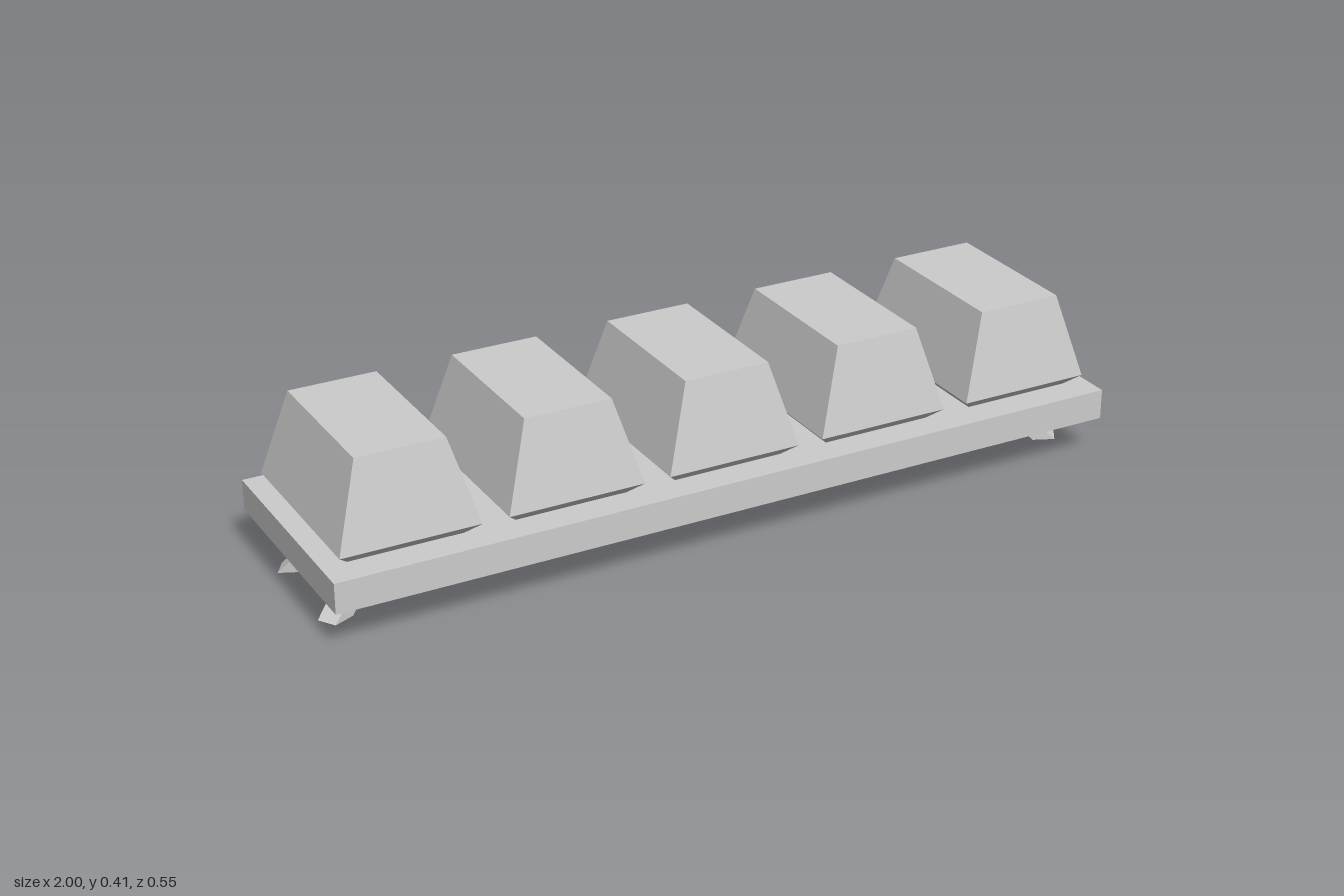
import * as THREE from 'three';

const material = new THREE.MeshStandardMaterial({ color: 0xcccccc, flatShading: true });

// Box whose vertices are moved by a rule; v arrives in the range -1..1.
function shapedBox(name, heightSegments, rule) {
  const geometry = new THREE.BoxGeometry(2, 2, 2, 1, heightSegments, 1).toNonIndexed();
  const pos = geometry.attributes.position;
  const v = new THREE.Vector3();
  for (let i = 0; i < pos.count; i++) {
    rule(v.fromBufferAttribute(pos, i));
    pos.setXYZ(i, v.x, v.y, v.z);
  }
  geometry.computeVertexNormals();
  const mesh = new THREE.Mesh(geometry, material);
  mesh.name = name;
  return mesh;
}

// Keycap: undercut foot, wide rim, tapered body. Levels are [halfX, y, halfZ].
const capLevels = [[0.138, 0.174, 0.198], [0.168, 0.204, 0.232], [0.107, 0.412, 0.191]];
function makeKeycap(x) {
  const cap = shapedBox('keycap', 2, (v) => {
    const [hx, y, hz] = capLevels[Math.round(v.y) + 1];
    v.set(v.x * hx, y, v.z * hz);
  });
  cap.position.x = x;
  return cap;
}

// Splayed leg: slanted prism with horizontal ends, mirrored by the side signs.
function makeLeg(sx, sz) {
  const centreZ = sz > 0 ? 0.124 : 0.137;
  return shapedBox(sz > 0 ? 'frontLeg' : 'backLeg', 1, (v) => {
    const along = (v.x * sx) / 2;
    const across = (v.z * sz) / 2;
    const rise = (v.y + 1) / 2;
    const x = 0.945 + along * 0.05 - across * 0.026 - rise * 0.093;
    const z = centreZ + along * 0.022 + across * 0.04 - rise * 0.046;
    v.set(sx * x, rise * 0.1, sz * z);
  });
}

export function createModel() {
  const model = new THREE.Group();
  model.name = 'keyPad';

  // Base plate
  const base = new THREE.Mesh(new THREE.BoxGeometry(2, 0.075, 0.55), material);
  base.name = 'base';
  base.position.y = 0.1365;
  model.add(base);

  // Row of five keys
  for (let i = -2; i <= 2; i++) model.add(makeKeycap(i * 0.4));

  // Four legs
  for (const sx of [-1, 1]) for (const sz of [-1, 1]) model.add(makeLeg(sx, sz));

  return model;
}
